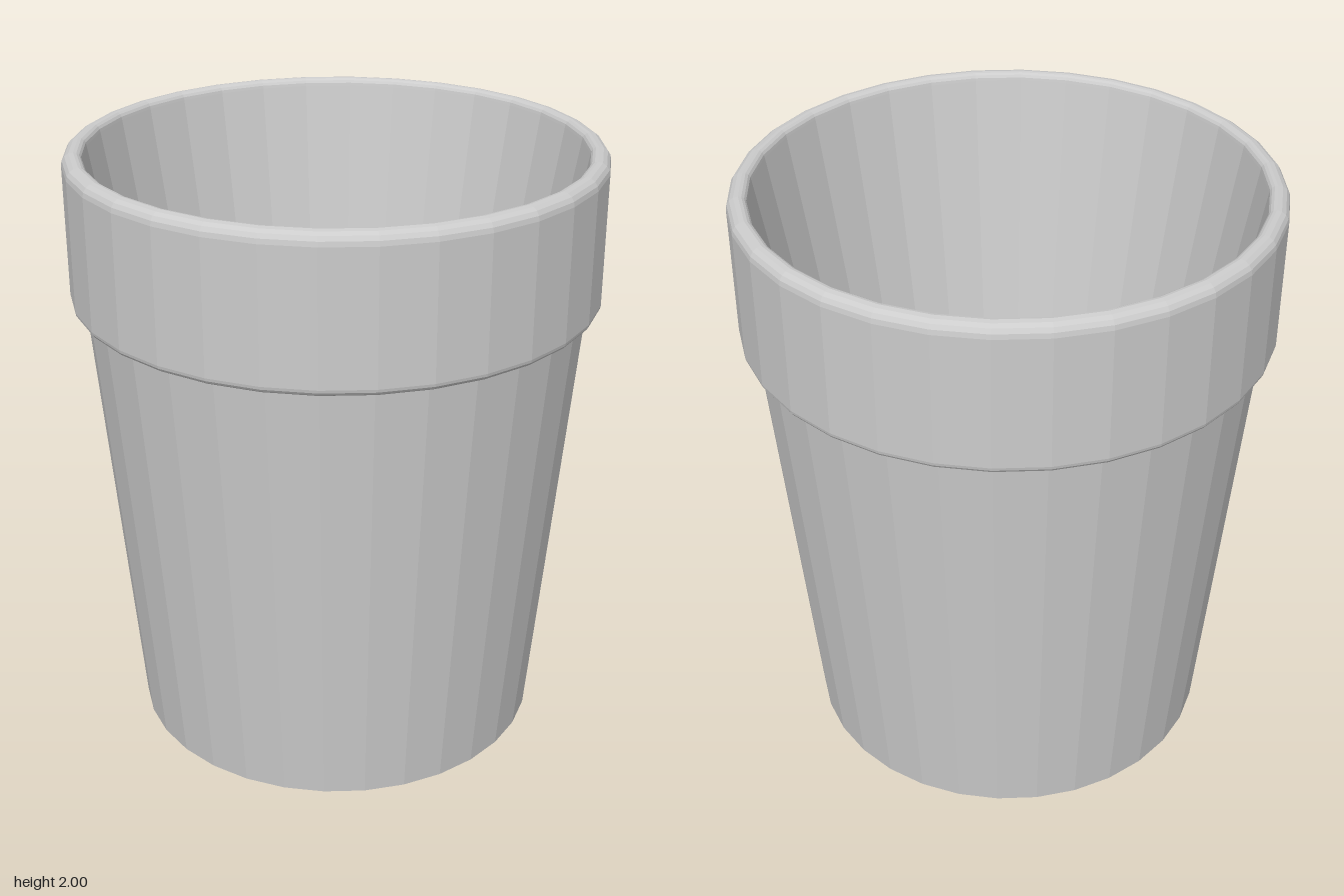
import * as THREE from 'three';

const SIDES = 32;
const material = new THREE.MeshStandardMaterial({ color: 0xcccccc, flatShading: true });

// Points of a quarter-round edge, from one angle to the next (degrees)
function roundEdge(cx, cy, radius, from, to, steps = 4) {
  return Array.from({ length: steps + 1 }, (_, i) => {
    const a = THREE.MathUtils.degToRad(from + ((to - from) * i) / steps);
    return [cx + radius * Math.cos(a), cy + radius * Math.sin(a)];
  });
}

// Faceted solid of revolution from [radius, height] pairs
function turned(name, profile) {
  const points = profile.map(([r, y]) => new THREE.Vector2(r, y));
  const mesh = new THREE.Mesh(new THREE.LatheGeometry(points, SIDES), material);
  mesh.name = name;
  return mesh;
}

export function createModel() {
  const group = new THREE.Group();
  group.name = 'flowerPot';

  // Tapered outside wall with closed base
  group.add(turned('outerWall', [[0, 0], [0.685, 0], [0.815, 1.51]]));

  // Thick collar with rounded edges
  group.add(turned('rim', [
    [0.815, 1.51],
    ...roundEdge(0.835, 1.535, 0.025, -90, 0),
    ...roundEdge(0.82, 1.96, 0.04, 0, 90),
    ...roundEdge(0.82, 1.975, 0.025, 90, 180),
  ]));

  // Steeper inside wall running down to a flat floor
  group.add(turned('innerWall', [[0.795, 1.975], [0.49, 0.19]]));
  group.add(turned('innerFloor', [[0.49, 0.19], [0, 0.19]]));

  return group;
}
